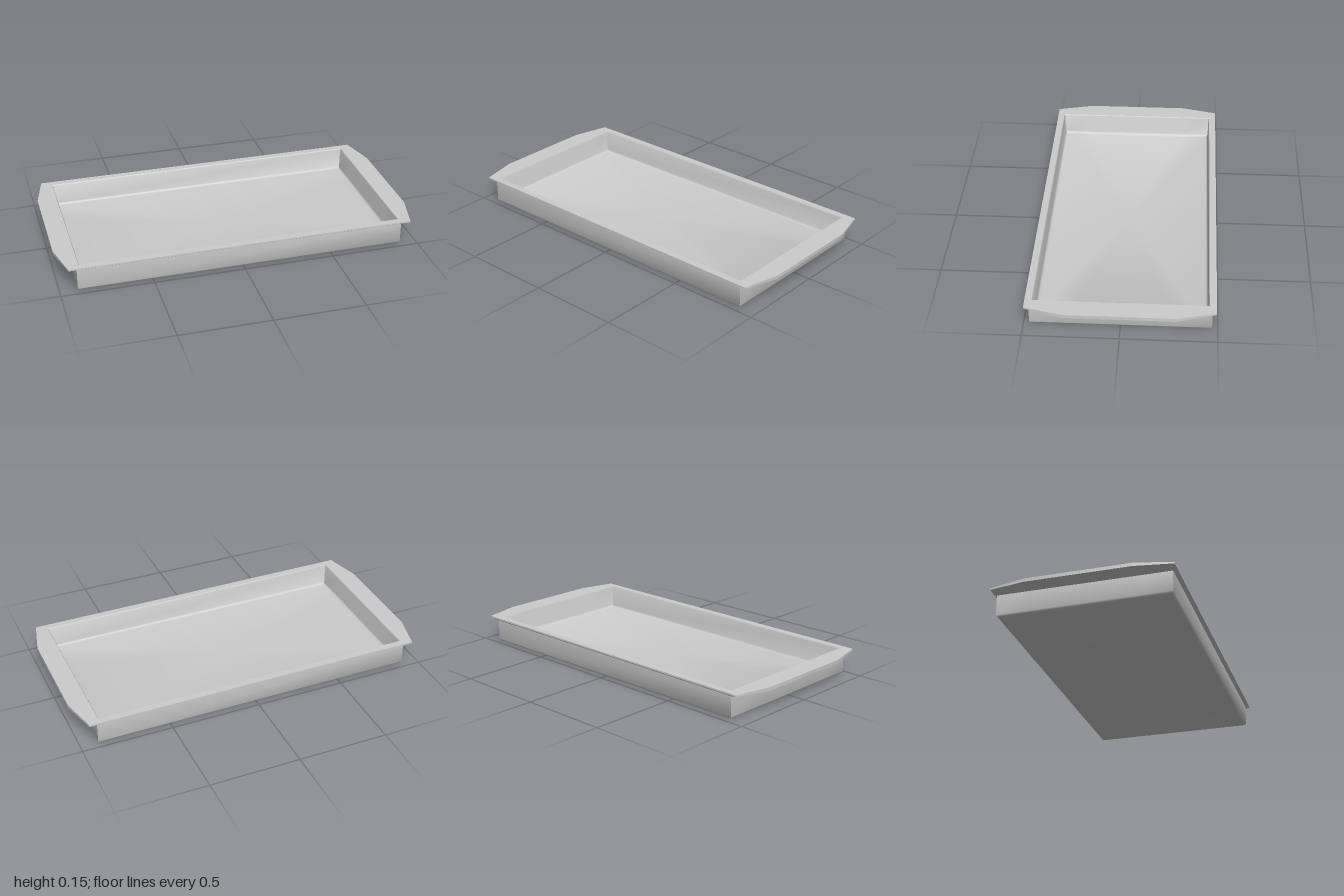
import * as THREE from 'three';
import { toCreasedNormals } from 'three/addons/utils/BufferGeometryUtils.js';

const GRIP_Z = 0.285; // half length of the straight grip edge at each end

// Eight-point ring, counter-clockwise from above.
// grip pushes the end edge outward, drop lowers it.
function ring(hx, hz, y, grip = 0, drop = 0) {
  const gz = Math.min(GRIP_Z, hz);
  const end = (s) => [
    [s * hx, y, s * hz],
    [s * (hx + grip), y - drop, s * gz],
    [s * (hx + grip), y - drop, -s * gz],
    [s * hx, y, -s * hz],
  ];
  return [...end(1), ...end(-1)];
}

// Closed skin through a list of rings, with a fan closing each end
function skin(rings) {
  const tri = [];
  const n = rings[0].length;
  for (let r = 0; r < rings.length - 1; r++) {
    for (let i = 0; i < n; i++) {
      const j = (i + 1) % n;
      const a = rings[r][i], b = rings[r][j], c = rings[r + 1][j], d = rings[r + 1][i];
      tri.push(...a, ...b, ...c, ...a, ...c, ...d);
    }
  }
  const first = rings[0], last = rings[rings.length - 1];
  for (let i = 0; i < n; i++) {
    const j = (i + 1) % n;
    tri.push(0, first[0][1], 0, ...first[j], ...first[i]);
    tri.push(0, last[0][1], 0, ...last[i], ...last[j]);
  }
  const g = new THREE.BufferGeometry();
  g.setAttribute('position', new THREE.Float32BufferAttribute(tri, 3));
  return toCreasedNormals(g, THREE.MathUtils.degToRad(50));
}

export function createModel() {
  const group = new THREE.Group();
  group.name = 'tray';
  const material = new THREE.MeshStandardMaterial({ color: 0xcccccc });

  const rings = [
    // underside and outer wall
    ring(0.893, 0.458, 0),
    ring(0.9, 0.464, 0.004),
    ring(0.905, 0.47, 0.013),
    ring(0.905, 0.47, 0.125),
    // rim with widened end grips
    ring(0.95, 0.49, 0.138, 0.05, 0.01),
    ring(0.95, 0.49, 0.147, 0.05),
    // inner wall and floor
    ring(0.892, 0.453, 0.147),
    ring(0.888, 0.449, 0.14),
    ring(0.886, 0.447, 0.03),
    ring(0.88, 0.441, 0.02),
    ring(0.87, 0.431, 0.016),
  ];
  const tray = new THREE.Mesh(skin(rings), material);
  tray.name = 'trayBody';
  group.add(tray);
  return group;
}
